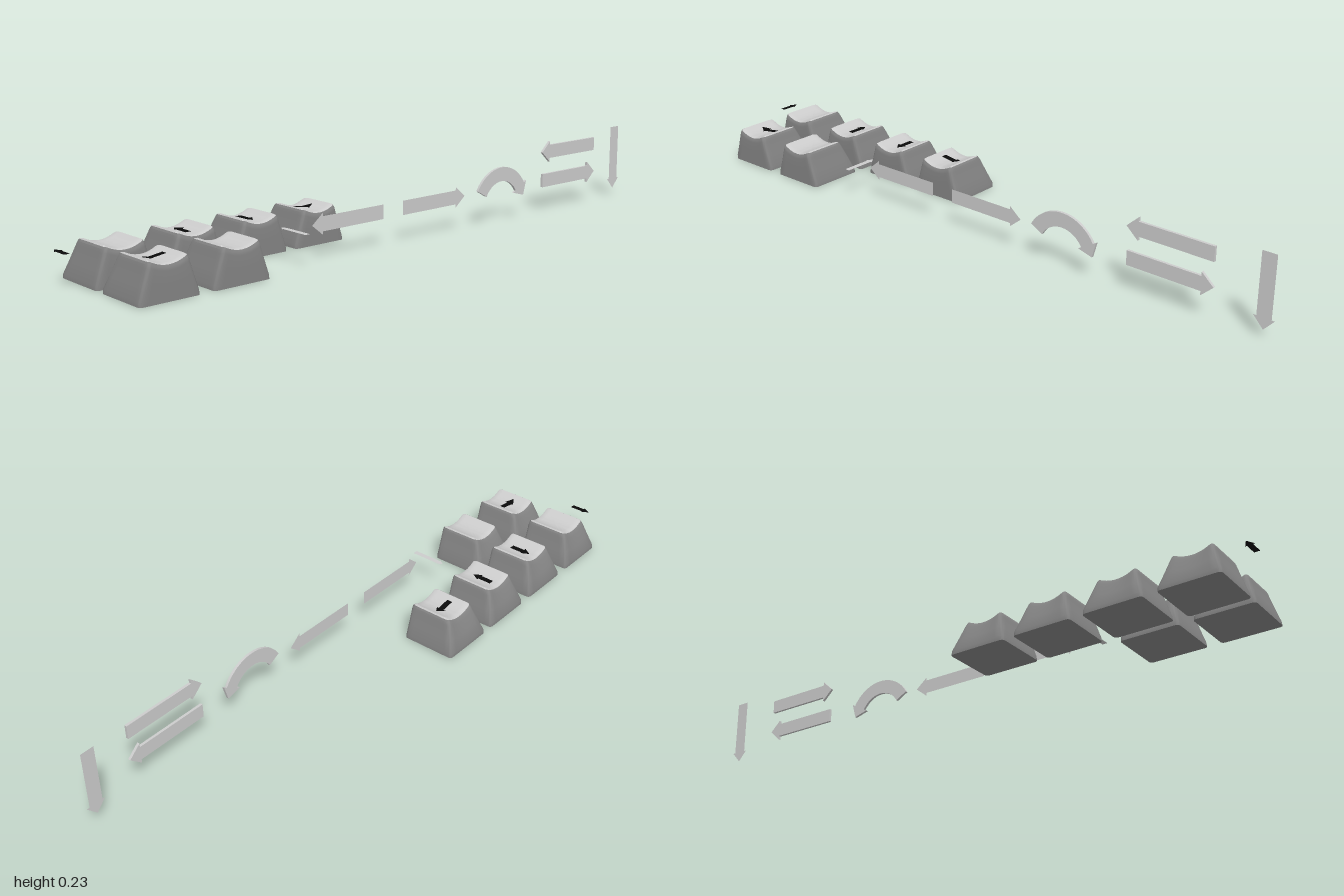
import * as THREE from 'three';
import { toCreasedNormals } from 'three/addons/utils/BufferGeometryUtils.js';

const paint = (color) => new THREE.MeshStandardMaterial({ color, side: THREE.DoubleSide });
const grey = paint(0xcccccc);
const darkGrey = paint(0x848484);
const black = paint(0x0a0a0a);

const KEY_HEIGHT = 0.109;
// Height y lowered towards the middle of a key's width
const dish = (x, y) => y * (1 - 0.14 * (1 - Math.min(1, (x / 0.052) ** 2)));

// Rounded rectangle outline, counter-clockwise from above, with subdivided edges
function outline(hw, zBack, zFront, r) {
  const cz = (zBack + zFront) / 2, hz = (zFront - zBack) / 2;
  const signs = [[1, -1], [-1, -1], [-1, 1], [1, 1]];
  const corner = (c, k) => {
    const a = (c + k / 4) * Math.PI / 2;
    const [sx, sz] = signs[c % 4];
    return [sx * (hw - r) + r * Math.cos(a), cz + sz * (hz - r) - r * Math.sin(a)];
  };
  const pts = [];
  for (let c = 0; c < 4; c++) {
    for (let k = 0; k <= 4; k++) pts.push(corner(c, k));
    const a = corner(c, 4), b = corner(c + 1, 0);
    for (let k = 1; k < 10; k++) {
      pts.push([a[0] + (b[0] - a[0]) * k / 10, a[1] + (b[1] - a[1]) * k / 10]);
    }
  }
  return pts;
}

// Keycap: upright front, sloping back and sides, top dished across its width
function keycapGeometry() {
  const levels = [ // y, half width, back z, front z
    [0, 0.087, -0.087, 0.087],
    [0.012, 0.086, -0.087, 0.087],
    [0.05, 0.0735, -0.073, 0.087],
    [0.09, 0.0615, -0.058, 0.087],
    [0.1, 0.059, -0.053, 0.086],
    [0.106, 0.0565, -0.049, 0.083],
    [KEY_HEIGHT, 0.052, -0.041, 0.077],
  ];
  const topStart = 5;
  const rings = levels.map(([y, hw, zb, zf]) =>
    outline(hw, zb, zf, 0.01).map(([x, z]) => [x, dish(x, y), z]));
  // Top surface: the last outline shrinking to its middle
  const rim = rings[rings.length - 1], midZ = 0.018;
  for (const s of [0.8, 0.6, 0.4, 0.2]) {
    rings.push(rim.map(([x, , z]) => [x * s, dish(x * s, KEY_HEIGHT), midZ + (z - midZ) * s]));
  }
  const n = rim.length, last = (rings.length - 1) * n;
  const verts = rings.flat();
  const top = verts.push([0, dish(0, KEY_HEIGHT), midZ]) - 1;
  const bottom = verts.push([0, 0, 0]) - 1;
  const walls = [], face = [];
  for (let i = 0; i < n; i++) {
    const j = (i + 1) % n;
    for (let k = 0; k < last; k += n) {
      const part = k < topStart * n ? walls : face;
      part.push(k + i, k + j, k + n + j, k + i, k + n + j, k + n + i);
    }
    walls.push(j, i, bottom);
    face.push(last + i, last + j, top);
  }
  const geo = new THREE.BufferGeometry();
  geo.setAttribute('position', new THREE.Float32BufferAttribute(verts.flat(), 3));
  geo.setIndex([...walls, ...face]);
  geo.addGroup(0, walls.length, 0);
  geo.addGroup(walls.length, face.length, 1);
  return toCreasedNormals(geo, 0.6);
}

// Extruded about z = 0, or a flat sheet when depth is 0
function plate(shape, depth) {
  if (!depth) return new THREE.ShapeGeometry(shape);
  return new THREE.ExtrudeGeometry(shape, { depth, bevelEnabled: false, curveSegments: 24 })
    .translate(0, 0, -depth / 2);
}

// Straight arrow, centred, pointing along +x then turned by angle
function arrowGeometry(length, shaft, head, headLength, angle, depth = 0) {
  const h = length / 2, b = h - headLength;
  const pts = [[-h, -shaft], [b, -shaft], [b, -head], [h, 0], [b, head], [b, shaft], [-h, shaft]];
  const shape = new THREE.Shape(pts.map(([x, y]) => new THREE.Vector2(x, y)));
  return plate(shape, depth).rotateZ(angle);
}

const layFlat = (geo) => geo.rotateX(-Math.PI / 2);

// Arrow printed on a key, following the dished top
function markGeometry(angle) {
  const geo = layFlat(arrowGeometry(0.068, 0.009, 0.016, 0.025, angle));
  const pos = geo.attributes.position;
  for (let i = 0; i < pos.count; i++) pos.setY(i, dish(pos.getX(i), KEY_HEIGHT) + 0.0015);
  geo.computeVertexNormals();
  return geo;
}

// Arc-shaped arrow bending clockwise over the top, centred on its arc
function curvedArrowGeometry(inner, outer, start, end, head, headLength, depth) {
  const mid = (inner + outer) / 2;
  const at = (r, a, t = 0) => [r * Math.cos(a) + t * Math.sin(a), r * Math.sin(a) - t * Math.cos(a)];
  const shape = new THREE.Shape();
  shape.moveTo(...at(inner, start));
  shape.lineTo(...at(outer, start));
  shape.absarc(0, 0, outer, start, end, true);
  shape.lineTo(...at(mid + head, end));
  shape.lineTo(...at(mid, end, headLength));
  shape.lineTo(...at(mid - head, end));
  shape.lineTo(...at(inner, end));
  shape.absarc(0, 0, inner, end, start, false);
  return plate(shape, depth);
}

export function createModel() {
  const model = new THREE.Group();
  const add = (name, geo, mat, x, y, z) => {
    const mesh = new THREE.Mesh(geo, mat);
    mesh.name = name;
    mesh.position.set(x, y, z);
    model.add(mesh);
  };
  const RIGHT = 0, UP = Math.PI / 2, LEFT = Math.PI, DOWN = -Math.PI / 2;

  // Keycaps in two rows, with the direction of the arrow on top
  const cap = keycapGeometry();
  const keys = [
    ['blankKey', -0.853, -0.098],
    ['upKey', -0.639, -0.098, UP],
    ['downKey', -0.428, -0.098, DOWN],
    ['rightKey', -0.223, -0.098, RIGHT],
    ['leftKey', -0.853, 0.099, LEFT],
    ['plainKey', -0.639, 0.099],
  ];
  for (const [name, x, z, angle] of keys) {
    add(name, cap, [darkGrey, grey], x, 0, z);
    if (angle !== undefined) add(name + 'Arrow', markGeometry(angle), black, x, 0, z + 0.012);
  }

  // Loose arrows lying flat
  add('looseBlackArrow', layFlat(arrowGeometry(0.066, 0.008, 0.013, 0.025, UP)), black, -0.987, 0.093, -0.096);
  add('looseFlatArrow', layFlat(arrowGeometry(0.11, 0.008, 0.012, 0.017, UP)), grey, -0.419, 0.092, 0.118);

  // Upright sheet arrows
  add('leftArrow', arrowGeometry(0.259, 0.021, 0.031, 0.038, LEFT), grey, -0.236, 0.099, 0.127);
  add('rightArrow', arrowGeometry(0.254, 0.021, 0.031, 0.038, RIGHT), grey, 0.096, 0.099, 0.127);
  add('downArrow', arrowGeometry(0.21, 0.021, 0.03, 0.033, DOWN), grey, 0.97, 0.125, 0.109);

  // Upright solid arrows
  add('curvedArrow', curvedArrowGeometry(0.076, 0.119, 2.64, 0.52, 0.033, 0.033, 0.008), grey, 0.374, 0.049, 0.135);
  add('pairLeftArrow', arrowGeometry(0.26, 0.021, 0.033, 0.036, LEFT, 0.008), grey, 0.704, 0.189, 0.126);
  add('pairRightArrow', arrowGeometry(0.26, 0.021, 0.033, 0.036, RIGHT, 0.008), grey, 0.708, 0.098, 0.126);
  return model;
}
